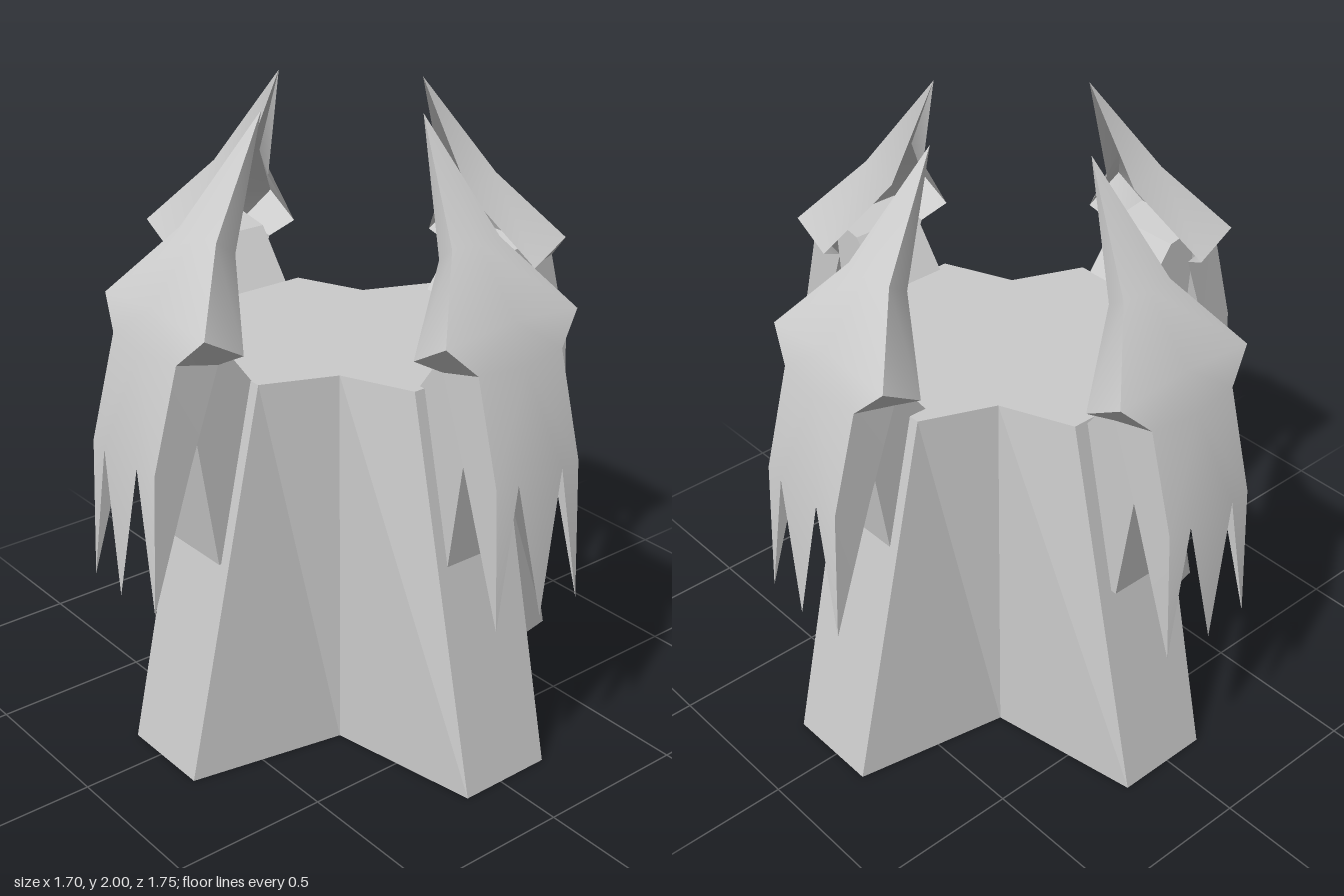
import * as THREE from 'three';
import { toCreasedNormals } from 'three/addons/utils/BufferGeometryUtils.js';

const solid = new THREE.MeshStandardMaterial({ color: 0xcccccc, flatShading: true });
const sheet = new THREE.MeshStandardMaterial({ color: 0xcccccc, side: THREE.DoubleSide });

// Cross-shaped pedestal whose four arms shorten towards the top
function makePedestal() {
  const arm = [[0.157, 0.75], [-0.157, 0.75], [-0.25, 0.25]];
  const points = [];
  for (let k = 0; k < 4; k++) {
    for (const [x, y] of arm) {
      points.push(new THREE.Vector2(x, y).rotateAround(new THREE.Vector2(), k * Math.PI / 2));
    }
  }
  const geo = new THREE.ExtrudeGeometry(new THREE.Shape(points), { depth: 1.25, bevelEnabled: false });
  geo.rotateX(-Math.PI / 2);
  const p = geo.attributes.position;
  const taper = (v) => (Math.abs(v) > 0.5 ? Math.sign(v) * 0.475 : v);
  for (let i = 0; i < p.count; i++) {
    if (p.getY(i) > 1) p.setXYZ(i, taper(p.getX(i)), p.getY(i), taper(p.getZ(i)));
  }
  geo.computeVertexNormals();
  const mesh = new THREE.Mesh(geo, solid);
  mesh.name = 'pedestal';
  mesh.position.set(0.02, 0, 0.022);
  return mesh;
}

// Half of the claw shell: named points (side, height, outward)
const P = {
  tip: [0, 2, 0.31],
  o: [0, 1.68, 0.55], m: [0.09, 1.68, 0.54], e: [0.06, 1.62, 0.455],
  r: [0, 1.5, 0.705], a: [0.25, 1.475, 0.70], b: [0.25, 1.40, 0.57],
  c0: [0, 1.38, 0.755], c: [0.16, 1.385, 0.735], d: [0.168, 1.355, 0.60],
  n0: [0, 1.07, 0.835], n: [0.085, 1.07, 0.832], p: [0.16, 1.07, 0.822], q: [0.165, 1.07, 0.70],
  s0: [0, 0.63, 0.855], s: [0.16, 0.63, 0.842],
};
const faces = [
  'tip o m', 'tip m e', 'o r a m', 'm a b e', // hooked blade
  'r c0 c a', 'a c d b', // shoulder
  'c0 n0 n', 'c0 n p c', 'c p q d', // front and side plates
  'n0 s0 n', 'n s p', 'p s q', // hanging points
];

function makeShell() {
  const pos = [];
  for (const face of faces) {
    const v = face.split(' ').map((name) => P[name]);
    for (let i = 1; i < v.length - 1; i++) {
      const tri = [v[0], v[i], v[i + 1]];
      for (const t of tri) pos.push(...t);
      for (const t of tri.reverse()) pos.push(-t[0], t[1], t[2]);
    }
  }
  const geo = new THREE.BufferGeometry();
  geo.setAttribute('position', new THREE.Float32BufferAttribute(pos, 3));
  const mesh = new THREE.Mesh(toCreasedNormals(geo, 0.5), sheet);
  mesh.name = 'clawShell';
  return mesh;
}

// Wedge bracket joining a claw to the pedestal
function makeBracket() {
  const profile = [[0.43, 1.22], [0.57, 1.41], [0.68, 1.43], [0.66, 1.18], [0.585, 0.69], [0.53, 0.69]];
  const shape = new THREE.Shape(profile.map(([x, y]) => new THREE.Vector2(x, y)));
  const geo = new THREE.ExtrudeGeometry(shape, { depth: 0.24, bevelEnabled: false });
  geo.translate(0, 0, -0.12);
  geo.rotateY(-Math.PI / 2);
  const mesh = new THREE.Mesh(geo, solid);
  mesh.name = 'bracket';
  return mesh;
}

export function createModel() {
  const model = new THREE.Group();
  model.name = 'clawedPedestal';
  model.add(makePedestal());
  // Four claws: name, turn, x shift, z shift
  const claws = [
    ['frontClaw', 0, 0.02, 0.025],
    ['leftClaw', 1, -0.015, 0.02],
    ['backClaw', 2, 0.01, -0.01],
    ['rightClaw', 3, 0, 0.022],
  ];
  for (const [name, turn, x, z] of claws) {
    const claw = new THREE.Group();
    claw.name = name;
    claw.add(makeShell(), makeBracket());
    claw.rotation.y = turn * Math.PI / 2;
    claw.position.set(x, 0, z);
    model.add(claw);
  }
  return model;
}
